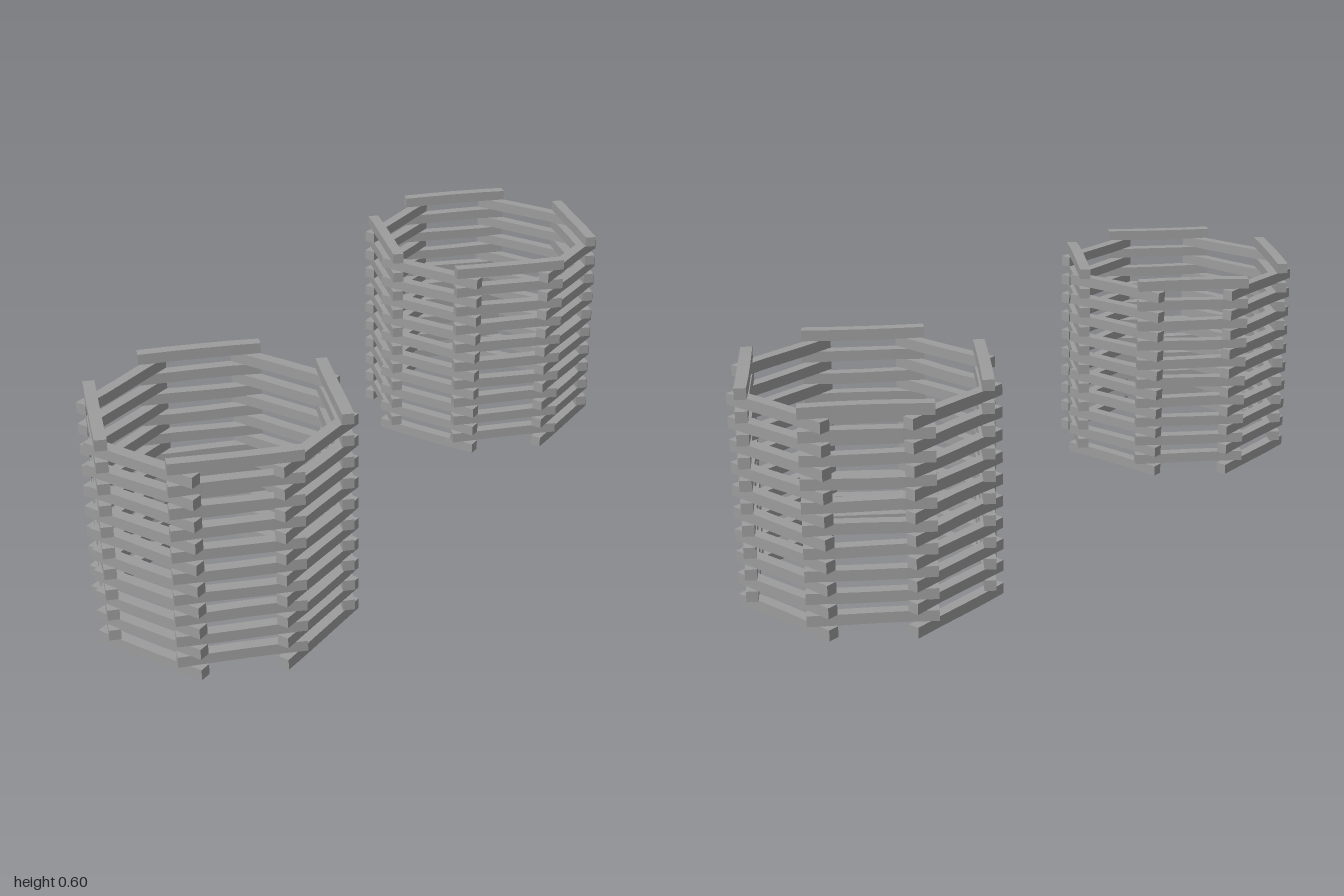
import * as THREE from 'three';

const LENGTH = 0.318, THICK = 0.03, HEIGHT = 0.0288;
const APOTHEM = 0.294, PERIOD = 0.0588, COURSES = 10;

// small seeded generator for the hewn irregularity, returns -1..1
function makeRandom(seed) {
  let s = seed;
  return () => {
    s = (s * 16807) % 2147483647;
    return (s / 2147483647) * 2 - 1;
  };
}

// square beam whose middle bows slightly; the ends stay flush for stacking
function beamGeometry(random) {
  const geo = new THREE.BoxGeometry(LENGTH, HEIGHT, THICK, 4, 1, 1);
  const p = geo.attributes.position;
  const rise = random() * 0.003, bow = random() * 0.002;
  const skew = random() * 0.0015, thin = random() * 0.04;
  for (let i = 0; i < p.count; i++) {
    const t = p.getX(i) / (LENGTH / 2);
    const mid = 1 - t * t;
    const wave = Math.sin(t * Math.PI) * skew;
    p.setY(i, p.getY(i) * (1 + thin * mid) + rise * mid + wave);
    p.setZ(i, p.getZ(i) * (1 - thin * mid) + bow * mid);
  }
  geo.computeVertexNormals();
  return geo;
}

export function createModel() {
  const model = new THREE.Group();
  model.name = 'beamStacks';
  const wood = new THREE.MeshStandardMaterial({ color: 0x9c9c9c, flatShading: true });
  wood.name = 'grey beam';

  // one octagonal crib: straight and diagonal courses alternate
  function crib(name) {
    const random = makeRandom(4711);
    const group = new THREE.Group();
    group.name = name;
    for (let course = 0; course < COURSES; course++) {
      for (let side = 0; side < 8; side++) {
        const diagonal = side % 2;
        const angle = side * Math.PI / 4;
        const beam = new THREE.Mesh(beamGeometry(random), wood);
        beam.name = diagonal ? 'diagonalBeam' : 'straightBeam';
        beam.position.set(
          Math.sin(angle) * APOTHEM,
          0.0195 + course * PERIOD + diagonal * PERIOD / 2,
          Math.cos(angle) * APOTHEM
        );
        beam.rotation.y = angle;
        // lowest side beams rest directly on the ground
        if (course === 0 && side % 4 === 2) beam.position.y -= 0.004;
        group.add(beam);
      }
    }
    return group;
  }

  // front and back cribs
  for (const s of [1, -1]) {
    const stack = crib(s > 0 ? 'frontCrib' : 'backCrib');
    stack.position.z = s * 0.67;
    model.add(stack);
  }
  return model;
}
